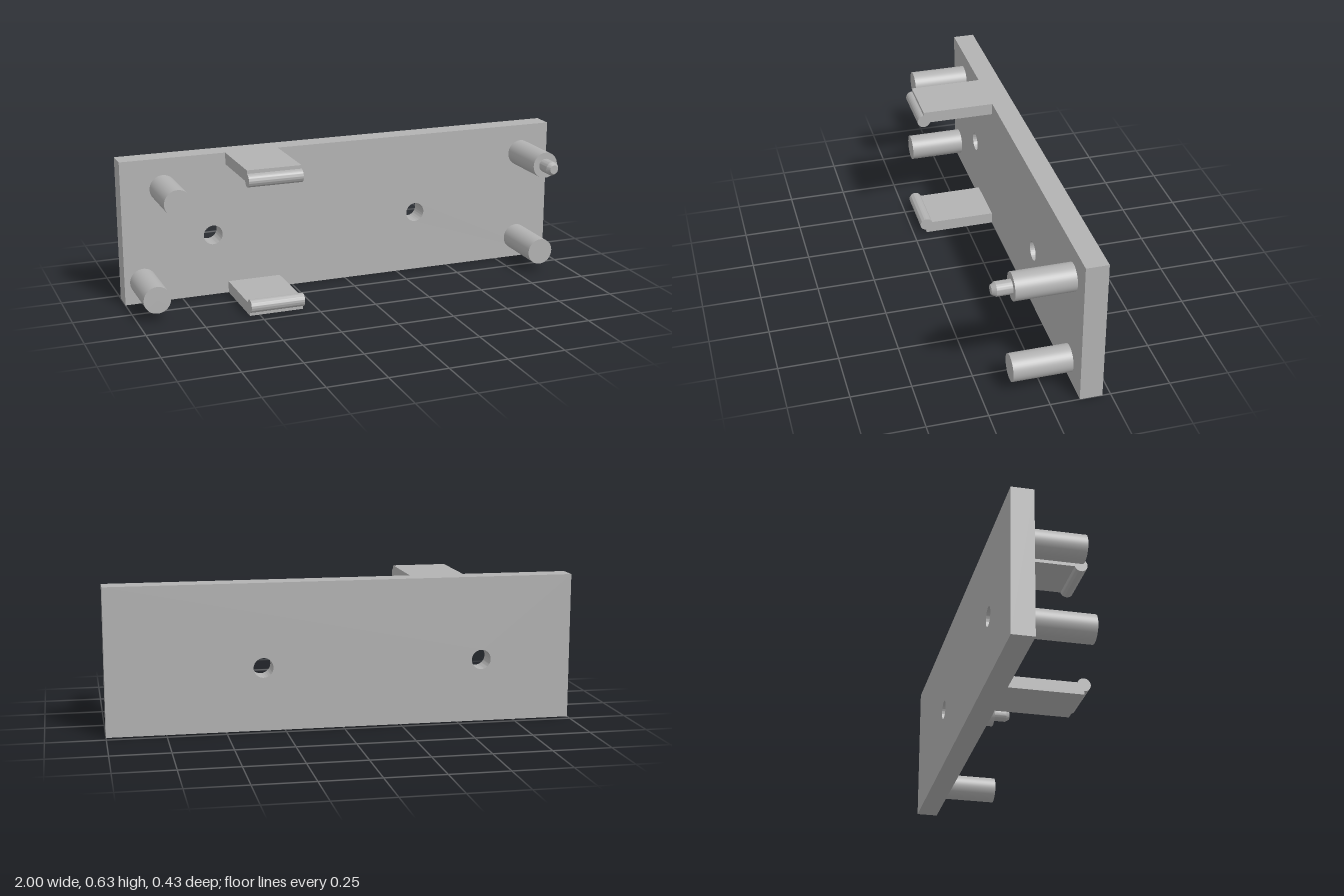
import * as THREE from 'three';
import { toCreasedNormals } from 'three/addons/utils/BufferGeometryUtils.js';

const HEIGHT = 0.63, BACK = -0.216, FACE = -0.122, POST_END = 0.125;

export function createModel() {
  const model = new THREE.Group();
  model.name = 'mountingPlate';
  const grey = new THREE.MeshStandardMaterial({ color: 0xb2b2b2 });
  grey.name = 'plastic grey';

  const add = (name, geometry, x = 0, y = 0, z = 0) => {
    const mesh = new THREE.Mesh(geometry, grey);
    mesh.name = name;
    mesh.position.set(x, y, z);
    model.add(mesh);
    return mesh;
  };

  // Base plate with two round screw holes
  const plate = new THREE.Shape([[-1, 0], [1, 0], [1, HEIGHT], [-1, HEIGHT]].map(p => new THREE.Vector2(...p)));
  for (const x of [-0.605, 0.34]) {
    plate.holes.push(new THREE.Path().absarc(x, 0.27, 0.042, 0, Math.PI * 2, true));
  }
  const plateGeometry = new THREE.ExtrudeGeometry(plate, { depth: FACE - BACK, bevelEnabled: false, curveSegments: 40 });
  add('basePlate', toCreasedNormals(plateGeometry, 0.6), 0, 0, BACK);

  // Four standoff posts
  const length = POST_END - FACE;
  const post = new THREE.CylinderGeometry(0.058, 0.058, length, 48).rotateX(Math.PI / 2);
  const posts = { upperRightPost: [-0.817, 0.5], upperLeftPost: [0.863, 0.5], lowerRightPost: [-0.918, 0.097], lowerLeftPost: [0.853, 0.097] };
  for (const [name, [x, y]] of Object.entries(posts)) add(name, post, x, y, FACE + length / 2);

  // Locating pin with a chamfered tip on the upper left post
  const pinProfile = [[0.03, 0], [0.03, 0.064], [0.019, 0.082], [0, 0.082]].map(p => new THREE.Vector2(...p));
  const pin = toCreasedNormals(new THREE.LatheGeometry(pinProfile, 40).rotateX(Math.PI / 2), 0.4);
  add('locatingPin', pin, 0.863, 0.5, POST_END);

  // Snap clips: a flat arm ending in a round bead, mirrored top and bottom
  const width = 0.235, beadZ = 0.19, beadY = 0.043, radius = 0.028, thick = 0.051;
  const arm = new THREE.Shape();
  arm.moveTo(FACE, 0);
  arm.lineTo(beadZ, 0);
  arm.lineTo(beadZ, beadY - radius);
  arm.absarc(beadZ, beadY, radius, -Math.PI / 2, Math.PI - Math.asin((thick - beadY) / radius), false);
  arm.lineTo(FACE, thick);
  arm.closePath();
  const clipGeometry = new THREE.ExtrudeGeometry(arm, { depth: width, bevelEnabled: false, curveSegments: 32 });
  clipGeometry.rotateY(-Math.PI / 2).translate(width / 2, 0, 0);
  const clip = toCreasedNormals(clipGeometry, 0.6);
  add('lowerClip', clip, -0.425, 0, 0);
  add('upperClip', clip, -0.425, HEIGHT, 0).rotation.z = Math.PI;

  return model;
}
